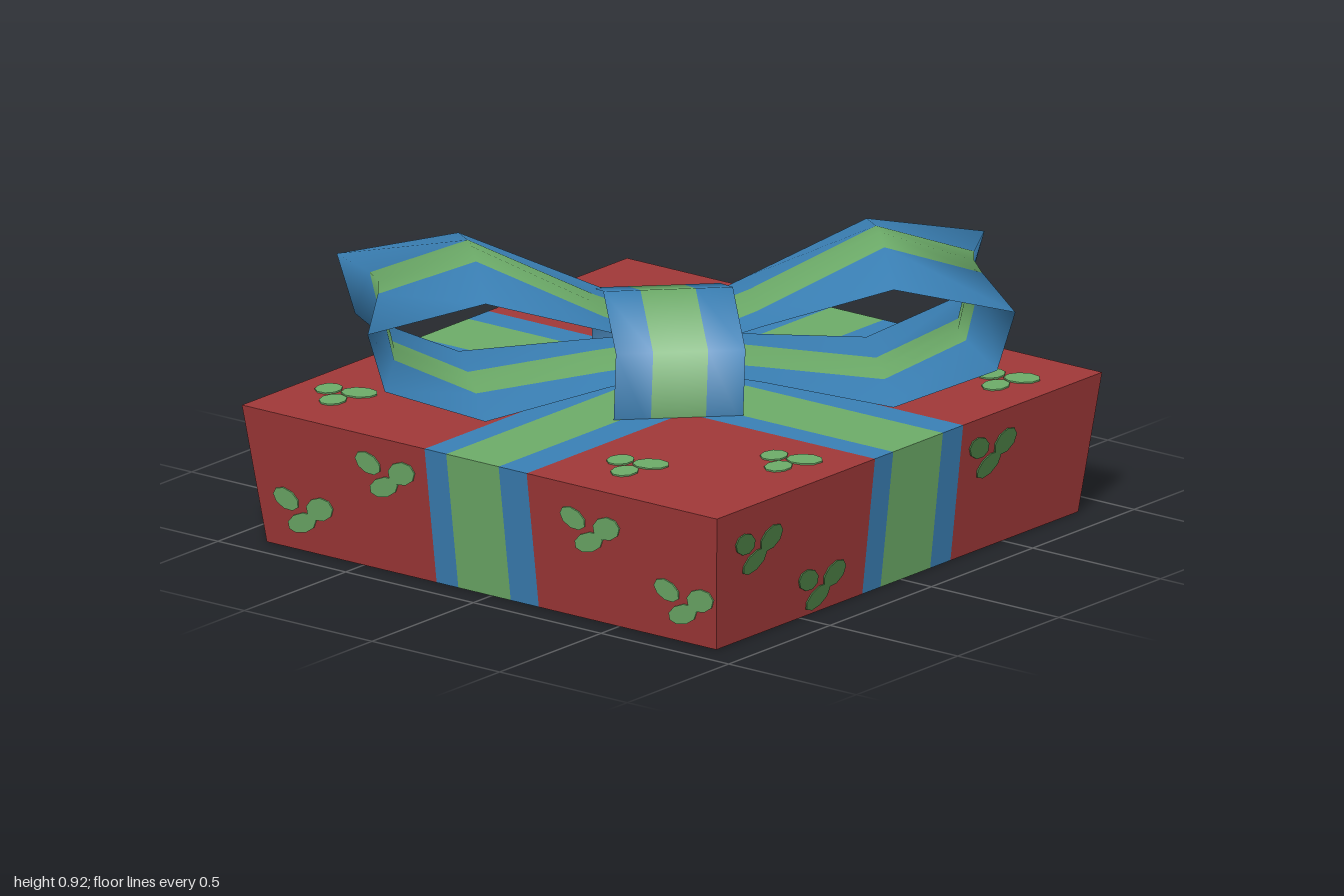
import * as THREE from 'three';

const make = (name, color) => new THREE.MeshStandardMaterial({ name, color, side: THREE.DoubleSide });

export function createModel() {
  const red = make('red paper', 0xa03838);
  const blue = make('blue ribbon', 0x3a80b5);
  const green = make('green stripe', 0x6dac69);
  const darkGreen = make('dark leaf', 0x4b7e45);
  const root = new THREE.Group();
  root.name = 'giftLid';

  // Lid: open underneath, flaring towards the top, split where the ribbons run
  const H = 0.445;
  const xs = [-0.97, -0.19, -0.1, 0.145, 0.245, 0.93];
  const zs = [-0.93, -0.215, -0.13, 0.075, 0.185, 0.93];
  const lowX = [-0.91, ...xs.slice(1, 5), 0.875];
  const lowZ = [-0.88, ...zs.slice(1, 5), 0.88];
  const T = (i, j) => [xs[i], H, zs[j]];
  const B = (i, j) => [lowX[i], 0, lowZ[j]];
  const stripe = [red, blue, green, blue, red];
  const faces = new Map([[red, []], [blue, []], [green, []]]);
  const quad = (mat, a, b, c, d) => faces.get(mat).push(...a, ...b, ...c, ...a, ...c, ...d);

  for (let i = 0; i < 5; i++) {
    for (let j = 0; j < 5; j++) {
      const pair = [stripe[i], stripe[j]];
      const mat = pair.includes(green) ? green : pair.includes(blue) ? blue : red;
      quad(mat, T(i, j), T(i, j + 1), T(i + 1, j + 1), T(i + 1, j));
    }
    quad(stripe[i], T(i, 5), B(i, 5), B(i + 1, 5), T(i + 1, 5));
    quad(stripe[i], T(i + 1, 0), B(i + 1, 0), B(i, 0), T(i, 0));
    quad(stripe[i], T(5, i + 1), B(5, i + 1), B(5, i), T(5, i));
    quad(stripe[i], T(0, i), B(0, i), B(0, i + 1), T(0, i + 1));
  }
  const lid = new THREE.Group();
  lid.name = 'lid';
  for (const [mat, pos] of faces) {
    const geo = new THREE.BufferGeometry();
    geo.setAttribute('position', new THREE.Float32BufferAttribute(pos, 3));
    geo.computeVertexNormals();
    const mesh = new THREE.Mesh(geo, mat);
    mesh.name = { 'red paper': 'lidPaper', 'blue ribbon': 'ribbonEdges', 'green stripe': 'ribbonCentre' }[mat.name];
    lid.add(mesh);
  }
  root.add(lid);

  // Leaf prints: thin plates through the paper, three leaves to a sprig
  const disc = new THREE.CylinderGeometry(1, 1, 0.009, 9);
  function sprigs(name, mat, spots, leaves) {
    const g = new THREE.Group();
    g.name = name;
    for (const [p, q] of spots) {
      for (const [dx, dz, rx, rz, turn] of leaves) {
        const leaf = new THREE.Mesh(disc, mat);
        leaf.name = 'leaf';
        leaf.position.set(p + dx, 0, q + dz);
        leaf.scale.set(rx, 1, rz);
        leaf.rotation.y = turn;
        g.add(leaf);
      }
    }
    root.add(g);
    return g;
  }
  const topLeaves = [[0.02, -0.08, 0.052, 0.042, 0.3], [-0.06, 0.0, 0.055, 0.042, 0.3], [0.045, 0.02, 0.05, 0.058, 0.3]];
  sprigs('topLeaves', green, [[-0.7, -0.74], [0.44, -0.78], [0.69, -0.36], [-0.71, 0.41], [-0.38, 0.75], [0.68, 0.76]],
    topLeaves).position.y = H;

  const wallLeaves = [[-0.065, -0.035, 0.05, 0.035, -0.3], [0.065, -0.025, 0.055, 0.038, 0.35], [-0.01, 0.035, 0.06, 0.032, 0.4]];
  const walls = [
    ['frontLeaves', darkGreen, 0, [0, 0.88], 0.05, [[-0.75, 0.29], [-0.41, 0.085], [0.4, 0.315]]],
    ['rightLeaves', green, Math.PI / 2, [0.875, 0], 0.055, [[-0.74, 0.33], [-0.36, 0.125], [0.35, 0.33], [0.76, 0.11]]],
    ['backLeaves', darkGreen, Math.PI, [0, -0.88], 0.05, [[-0.42, 0.33], [0.44, 0.1], [0.76, 0.28]]],
    ['leftLeaves', green, -Math.PI / 2, [-0.91, 0], 0.06, [[-0.72, 0.13], [-0.38, 0.32], [0.42, 0.3], [0.77, 0.13]]],
  ];
  for (const [name, mat, yaw, [x, z], flare, spots] of walls) {
    const g = sprigs(name, mat, spots.map(([p, y]) => [p, -y]), wallLeaves);
    g.rotation.order = 'YXZ';
    g.rotation.set(Math.PI / 2 + Math.atan(flare / H), yaw, 0);
    g.position.set(x, 0, z);
  }

  // Striped ribbon skinned over rows of five points: blue, green, green, blue
  function ribbon(name, rows) {
    const geo = new THREE.BufferGeometry();
    geo.setAttribute('position', new THREE.Float32BufferAttribute(rows.flat(2), 3));
    const index = [];
    for (let c = 0; c < 4; c++) {
      geo.addGroup(index.length, (rows.length - 1) * 6, c === 0 || c === 3 ? 0 : 1);
      for (let r = 0; r < rows.length - 1; r++) {
        const a = r * 5 + c, b = a + 5;
        index.push(a, b, b + 1, a, b + 1, a + 1);
      }
    }
    geo.setIndex(index);
    geo.computeVertexNormals();
    const mesh = new THREE.Mesh(geo, [blue, green]);
    mesh.name = name;
    return mesh;
  }

  // Bow lies on the diagonal: local x runs along the loops, local z across them
  const bow = new THREE.Group();
  bow.name = 'bow';
  bow.rotation.y = -Math.PI / 4;
  root.add(bow);

  // Loop rows: edge reach, edge height, centre reach, centre height, half width
  const loop = [
    [0, 0.62, 0, 0.63, 0.19], [0.24, 0.71, 0.24, 0.72, 0.25], [0.63, 0.85, 0.63, 0.92, 0.365],
    [1.0, 0.78, 0.92, 0.82, 0.415], [0.945, 0.59, 0.87, 0.6, 0.4], [0.63, 0.47, 0.63, 0.485, 0.36],
    [0.24, 0.53, 0.24, 0.54, 0.25], [0, 0.56, 0, 0.57, 0.19],
  ];
  const loopRows = loop.map(([be, ye, bc, yc, w]) => [-w, -0.11, 0, 0.11, w].map((a) => {
    const t = Math.max(0, Math.abs(a) - 0.05) / (w - 0.05);
    return [bc + (be - bc) * t, yc + (ye - yc) * t, a];
  }));
  for (const [name, yaw] of [['frontLoop', 0], ['backLoop', Math.PI]]) {
    const mesh = ribbon(name, loopRows);
    mesh.rotation.y = yaw;
    bow.add(mesh);
  }

  // Knot band: arches over the loops and tucks through the lid
  const band = [[-0.27, 0.4], [-0.34, 0.675], [0, 0.77], [0.34, 0.675], [0.27, 0.4]];
  const knot = ribbon('knot', band.map(([a, y]) => [-0.2, -0.085, 0, 0.085, 0.2].map((b) => [b, y, a])));
  knot.position.set(-0.028, 0, 0.028);
  bow.add(knot);

  return root;
}
